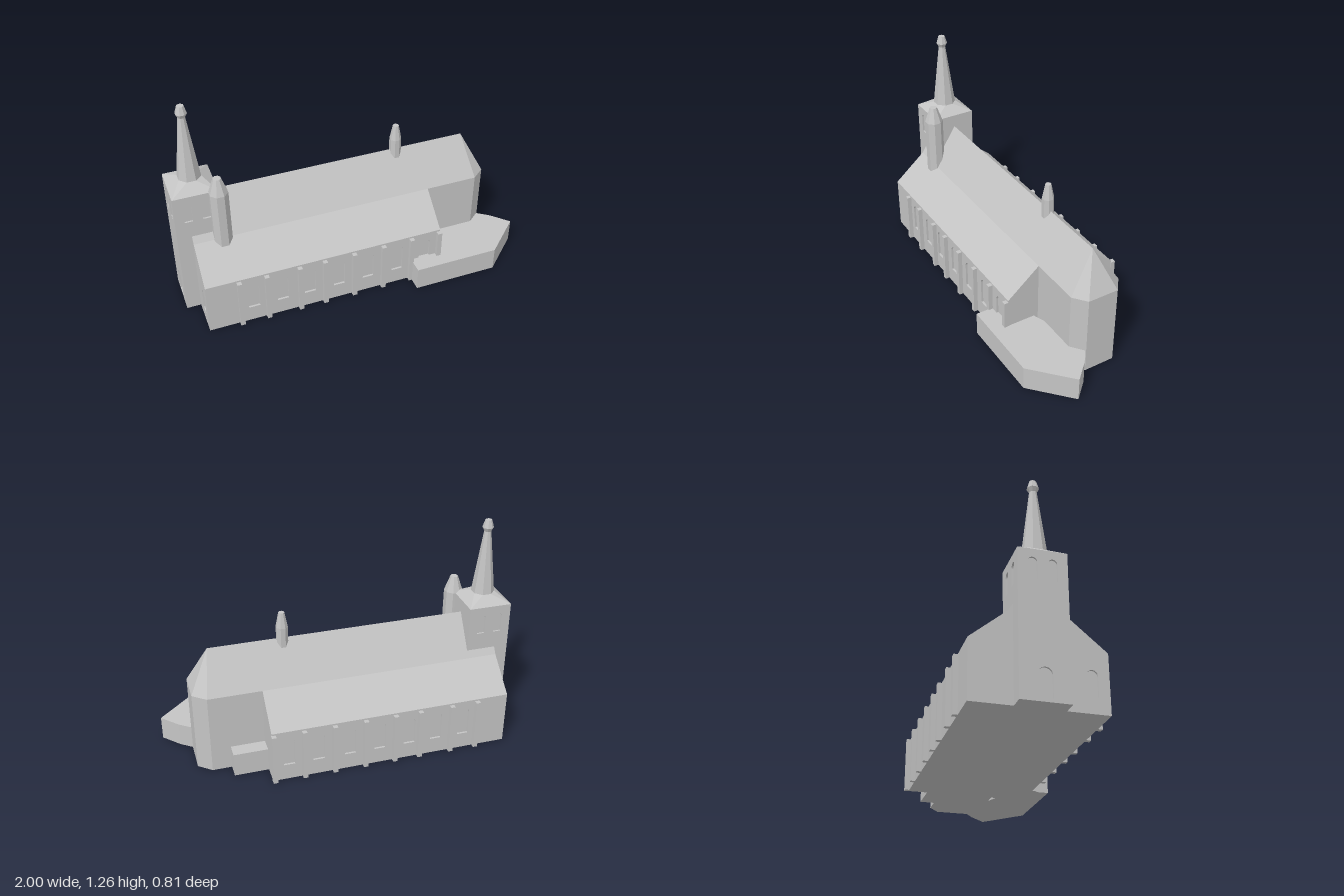
import * as THREE from 'three';
import { ConvexGeometry } from 'three/addons/geometries/ConvexGeometry.js';

const AXIS = -0.04; // z of the nave centre line

export function createModel() {
  const church = new THREE.Group();
  church.name = 'church';
  const stone = new THREE.MeshStandardMaterial({ color: 0xc4c4c4 });
  stone.name = 'grey stone';

  const add = (name, geometry, parent = church) => {
    const mesh = new THREE.Mesh(geometry, stone);
    mesh.name = name;
    parent.add(mesh);
    return mesh;
  };
  const box = (name, x0, x1, y0, y1, z0, z1, parent) => {
    const g = new THREE.BoxGeometry(x1 - x0, y1 - y0, z1 - z0);
    g.translate((x0 + x1) / 2, (y0 + y1) / 2, (z0 + z1) / 2);
    return add(name, g, parent);
  };
  const polygon = (pts) => new THREE.Shape(pts.map(([x, y]) => new THREE.Vector2(x, y)));
  const extrude = (shape, depth) =>
    new THREE.ExtrudeGeometry(shape, { depth, bevelEnabled: false, curveSegments: 8 });

  // Round-headed opening: centre x, sill, crown, width
  const arch = (x, y0, y1, w) => {
    const r = w / 2, p = new THREE.Path();
    p.moveTo(x - r, y0);
    p.lineTo(x + r, y0);
    p.lineTo(x + r, y1 - r);
    p.absarc(x, y1 - r, r, 0, Math.PI, false);
    p.closePath();
    return p;
  };
  // Wall slab in the xy plane with arched openings
  const wall = (x0, x1, h, openings, depth) => {
    const s = polygon([[x0, 0], [x1, 0], [x1, h], [x0, h]]);
    s.holes = openings;
    return extrude(s, depth);
  };
  // Faceted octagonal turret from [radius, height] pairs
  const turret = (name, profile, x, z) => {
    let g = new THREE.LatheGeometry(profile.map(([r, y]) => new THREE.Vector2(r, y)), 8);
    g.rotateY(Math.PI / 8);
    g = g.toNonIndexed();
    g.computeVertexNormals();
    add(name, g).position.set(x, 0, z);
  };

  // Nave with polygonal apse and hipped roof end
  const foot = [[-0.92, 0.15], [0.77, 0.15], [0.845, 0.09]];
  const navePts = [[-0.92, 0.705, AXIS], [0.73, 0.705, AXIS]];
  for (const [x, d] of foot)
    for (const s of [-1, 1])
      for (const y of [0, 0.475]) navePts.push([x, y, AXIS + s * d]);
  add('nave', new ConvexGeometry(navePts.map((p) => new THREE.Vector3(...p))));

  // Side aisles, the second turned about the nave axis
  const buttresses = [-0.735, -0.58, -0.39, -0.243, -0.068, 0.11, 0.284, 0.455];
  const windows = [-0.657, -0.49, -0.33, -0.155, 0.02, 0.2, 0.37];
  const W = -0.92, E = 0.465;
  for (const s of [1, -1]) {
    const aisle = new THREE.Group();
    aisle.name = s > 0 ? 'frontAisle' : 'backAisle';
    aisle.position.z = AXIS;
    if (s < 0) aisle.rotation.y = Math.PI;
    church.add(aisle);

    // Body and lean-to roof, swept along the aisle
    const section = polygon([[-0.14, 0], [-0.328, 0], [-0.328, 0.3], [-0.34, 0.3],
      [-0.34, 0.315], [-0.15, 0.475], [-0.14, 0.475]]);
    const body = extrude(section, E - W - 0.01);
    body.rotateY(Math.PI / 2);
    body.translate(s > 0 ? W + 0.01 : -E, 0, 0);
    add('aisleBody', body, aisle);

    // West end wall, with a window on the front aisle
    const end = polygon([[-0.14, 0], [-0.34, 0], [-0.34, 0.315], [-0.15, 0.475], [-0.14, 0.475]]);
    if (s > 0) end.holes = [arch(-0.255, 0.08, 0.22, 0.055)];
    const endWall = extrude(end, 0.01);
    endWall.rotateY(Math.PI / 2);
    endWall.translate(s > 0 ? W : -W - 0.01, 0, 0);
    add('aisleEndWall', endWall, aisle);

    // Long wall with recessed windows
    const x0 = s > 0 ? W + 0.01 : -E, x1 = s > 0 ? E : -W - 0.01;
    const side = wall(x0, x1, 0.3, windows.map((x) => arch(s * x, 0.095, 0.27, 0.065)), 0.012);
    side.translate(0, 0, 0.328);
    add('aisleWindowWall', side, aisle);

    for (const x of buttresses)
      box('buttress', s * x - 0.013, s * x + 0.013, 0, 0.305, 0.335, 0.365, aisle);
  }

  // Bell tower: core, windowed facings and low roof
  const tower = new THREE.Group();
  tower.name = 'tower';
  tower.position.set(-0.875, 0, AXIS);
  church.add(tower);
  box('towerCore', -0.115, 0.125, 0, 0.78, -0.115, 0.115, tower);
  const belfry = () => [-0.05, 0.05].map((x) => arch(x, 0.615, 0.735, 0.045));
  [0, Math.PI, -Math.PI / 2].forEach((angle, i) => {
    const openings = belfry();
    if (i === 2) openings.push(arch(0, 0.02, 0.17, 0.07)); // west door
    const lo = i === 2 ? -0.115 : -0.125, hi = i === 2 ? 0.115 : 0.125;
    const g = wall(lo, hi, 0.78, openings, 0.01);
    g.translate(0, 0, 0.115);
    g.rotateY(angle);
    add('towerFacing', g, tower);
  });
  const roofPts = [];
  for (const x of [-0.125, 0.125])
    for (const z of [-0.125, 0.125]) roofPts.push(new THREE.Vector3(x, 0.78, z));
  for (let i = 0; i < 8; i++) {
    const a = (i + 0.5) * Math.PI / 4;
    roofPts.push(new THREE.Vector3(0.066 * Math.cos(a), 0.827, 0.066 * Math.sin(a)));
  }
  add('towerRoof', new ConvexGeometry(roofPts), tower);

  // Spire and turrets
  turret('spire', [[0.066, 0.825], [0.02, 1.195], [0.032, 1.218], [0.019, 1.262], [0, 1.262]],
    -0.875, AXIS);
  turret('stairTurret', [[0, 0.3], [0.054, 0.3], [0.054, 0.78], [0.022, 0.872], [0, 0.872]],
    -0.755, 0.097);
  turret('ridgeTurret', [[0, 0.64], [0.034, 0.64], [0.034, 0.775], [0.017, 0.862], [0, 0.862]],
    0.313, AXIS);

  // Low flat-roofed annexes
  const annex = extrude(polygon([[0.29, -0.4], [0.785, -0.4], [1, -0.2], [0.91, -0.105],
    [0.835, -0.05], [0.7, -0.05], [0.29, -0.2]]), 0.14);
  annex.rotateX(-Math.PI / 2);
  add('frontAnnex', annex);
  box('backAnnex', 0.45, 0.66, 0, 0.14, -0.272, -0.17);

  return church;
}
